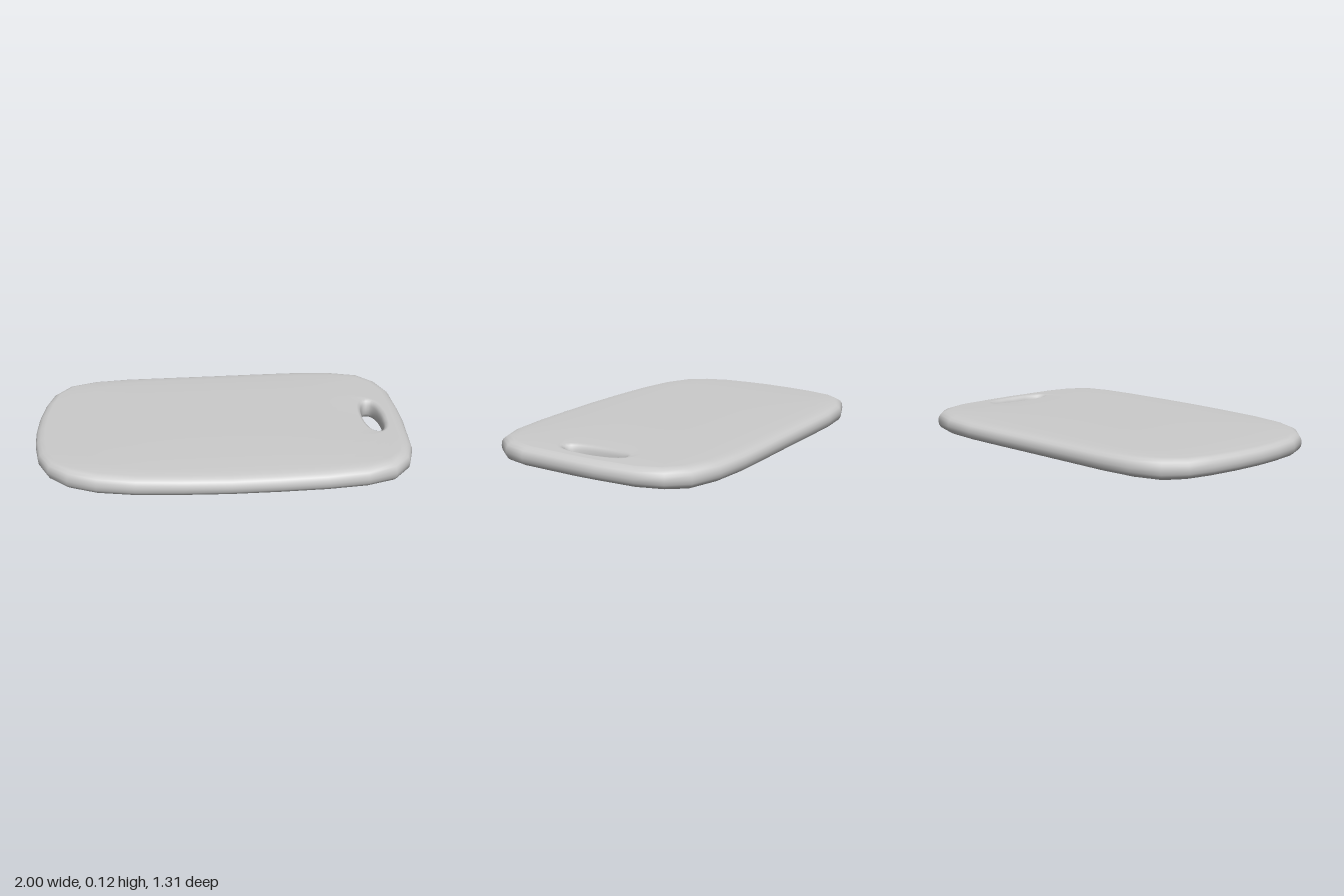
import * as THREE from 'three';

// Board outline (x, z), running from the right edge through the front
const OUTLINE = [
  [1, 0], [0.98, 0.32], [0.94, 0.455], [0.85, 0.56], [0.7, 0.615], [0.49, 0.64], [0.25, 0.65],
  [0, 0.653], [-0.24, 0.642], [-0.48, 0.622], [-0.675, 0.58], [-0.82, 0.51], [-0.92, 0.41],
  [-0.975, 0.28], [-0.995, 0.13], [-1, 0], [-0.99, -0.16], [-0.965, -0.32], [-0.925, -0.45],
  [-0.84, -0.555], [-0.69, -0.617], [-0.5, -0.64], [-0.25, -0.645], [0, -0.65], [0.25, -0.657],
  [0.48, -0.66], [0.685, -0.643], [0.85, -0.587], [0.94, -0.49], [0.99, -0.35], [1, -0.13],
].map(([x, z]) => new THREE.Vector2(x, z));
const N = OUTLINE.length;
const MID = 0.061;

// Outline moved inward by d along its normals
function insetOutline(d) {
  return OUTLINE.map((p, i) => {
    const t = OUTLINE[(i + 1) % N].clone().sub(OUTLINE[(i + N - 1) % N]).normalize();
    return new THREE.Vector2(p.x - t.y * d, p.y + t.x * d);
  });
}

// Oval handle hole, widened by d, with one point for each outline point
function holeRing(d) {
  return OUTLINE.map((p) => {
    const t = Math.atan2(p.y / 0.65, p.x);
    const c = Math.cos(t), s = Math.sin(t);
    return new THREE.Vector2(
      0.83 + (0.05 + d) * Math.sign(c) * Math.abs(c) ** 0.85,
      -0.017 + (0.173 + 1.3 * d) * Math.sign(s) * Math.abs(s) ** 0.95,
    );
  });
}

// Half thickness of the gently crowned faces
function crown(p) {
  return MID - 0.014 * Math.min(1, Math.max(Math.abs(p.x), Math.abs(p.y) / 0.65)) ** 4;
}

function boardGeometry() {
  // Rings from the rim's widest line, over the top, to the middle of the hole wall
  const half = [];
  const add = (pts, scale) => half.push(pts.map((p) => [p.x, crown(p) * scale, p.y]));
  for (const [d, k] of [[0, 0], [0.003, 0.4], [0.012, 0.68], [0.028, 0.88]]) add(insetOutline(d), k);
  const outer = insetOutline(0.05), inner = holeRing(0.025);
  const steps = 10;
  for (let j = 0; j <= steps; j++) {
    add(outer.map((p, i) => p.clone().lerp(inner[i], j / steps)), 1);
  }
  for (const [d, k] of [[0.01, 0.86], [0.002, 0.5], [0, 0]]) add(holeRing(d), k);

  // Mirror the rings for the underside, closing the loop
  const under = half.slice(1, -1).reverse().map((ring) => ring.map(([x, y, z]) => [x, -y, z]));
  const rings = [...half, ...under];
  const positions = rings.flat().flatMap(([x, y, z]) => [x, y + MID, z]);
  const index = [];
  rings.forEach((_, r) => {
    const next = (r + 1) % rings.length;
    for (let i = 0; i < N; i++) {
      const k = (i + 1) % N;
      const a = r * N + i, b = r * N + k, c = next * N + k, d = next * N + i;
      index.push(a, d, b, b, d, c);
    }
  });
  const g = new THREE.BufferGeometry();
  g.setAttribute('position', new THREE.Float32BufferAttribute(positions, 3));
  g.setIndex(index);
  g.computeVertexNormals();
  return g;
}

export function createModel() {
  const group = new THREE.Group();
  group.name = 'cuttingBoard';
  const board = new THREE.Mesh(boardGeometry(), new THREE.MeshStandardMaterial({ color: 0xcccccc }));
  board.name = 'boardWithHandleHole';
  group.add(board);
  return group;
}
